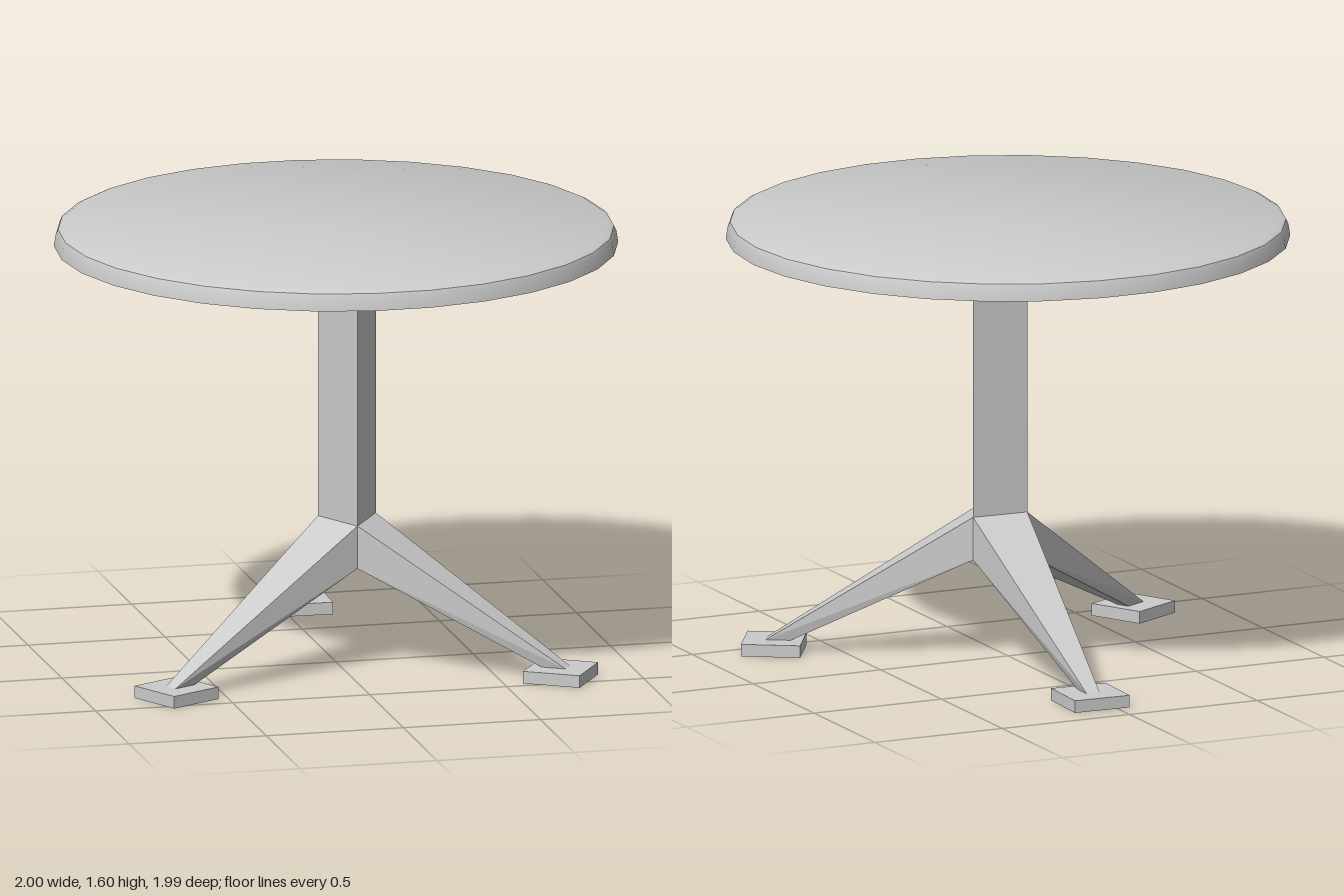
import * as THREE from 'three';
import { toCreasedNormals } from 'three/addons/utils/BufferGeometryUtils.js';
import { ConvexGeometry } from 'three/addons/geometries/ConvexGeometry.js';

const TURN = THREE.MathUtils.degToRad(1.8);   // slight twist of the base
const COLUMN = { x: 0.047, z: 0.022, r: 0.121 };
const HUB = { x: 0.03, z: 0.01 };
const TOP_Y = 1.525, JOINT_Y = 0.527, UNDER_Y = 0.372, FOOT_H = 0.044;

// point at angle a (clockwise from the back) and distance r, shifted sideways by s
function polar(c, a, r, y, s = 0) {
  return new THREE.Vector3(
    c.x + Math.sin(a) * r + Math.cos(a) * s, y,
    c.z - Math.cos(a) * r + Math.sin(a) * s);
}

export function createModel() {
  const group = new THREE.Group();
  const material = new THREE.MeshStandardMaterial({ color: 0xcccccc });
  const add = (name, geometry) => {
    const mesh = new THREE.Mesh(geometry, material);
    mesh.name = name;
    group.add(mesh);
    return mesh;
  };

  // round top with a softened upper rim
  const profile = [[0, TOP_Y], [1, TOP_Y], [0.993, 1.568], [0.985, 1.585], [0.965, 1.595], [0, 1.595]]
    .map(([r, y]) => new THREE.Vector2(r, y));
  const top = new THREE.LatheGeometry(profile, 30, Math.PI / 2);
  add('tabletop', toCreasedNormals(top, THREE.MathUtils.degToRad(35)));

  // three-sided column, running down between the legs
  const corners = [];
  for (let i = 0; i < 3; i++) {
    const a = TURN + Math.PI / 3 + i * Math.PI * 2 / 3;
    corners.push(polar(COLUMN, a, COLUMN.r, UNDER_Y), polar(COLUMN, a, COLUMN.r, TOP_Y));
  }
  add('column', new ConvexGeometry(corners));

  // one tapered leg and square foot per column face
  ['backLeg', 'leftLeg', 'rightLeg'].forEach((name, i) => {
    const a = TURN + i * Math.PI * 2 / 3;
    const points = [];
    for (const side of [-1, 1]) {
      const edge = a + side * Math.PI / 3;
      points.push(
        polar(COLUMN, edge, COLUMN.r, JOINT_Y),
        polar(COLUMN, edge, COLUMN.r, UNDER_Y),
        polar(HUB, a, 0.83, FOOT_H, side * 0.025),
        polar(HUB, a, 0.74, FOOT_H, side * 0.025));
    }
    add(name, new ConvexGeometry(points));

    const foot = add(name.replace('Leg', 'Foot'), new THREE.BoxGeometry(0.211, FOOT_H, 0.211));
    foot.position.copy(polar(HUB, a, 0.803, FOOT_H / 2));
    foot.rotation.y = -a;
  });

  return group;
}
